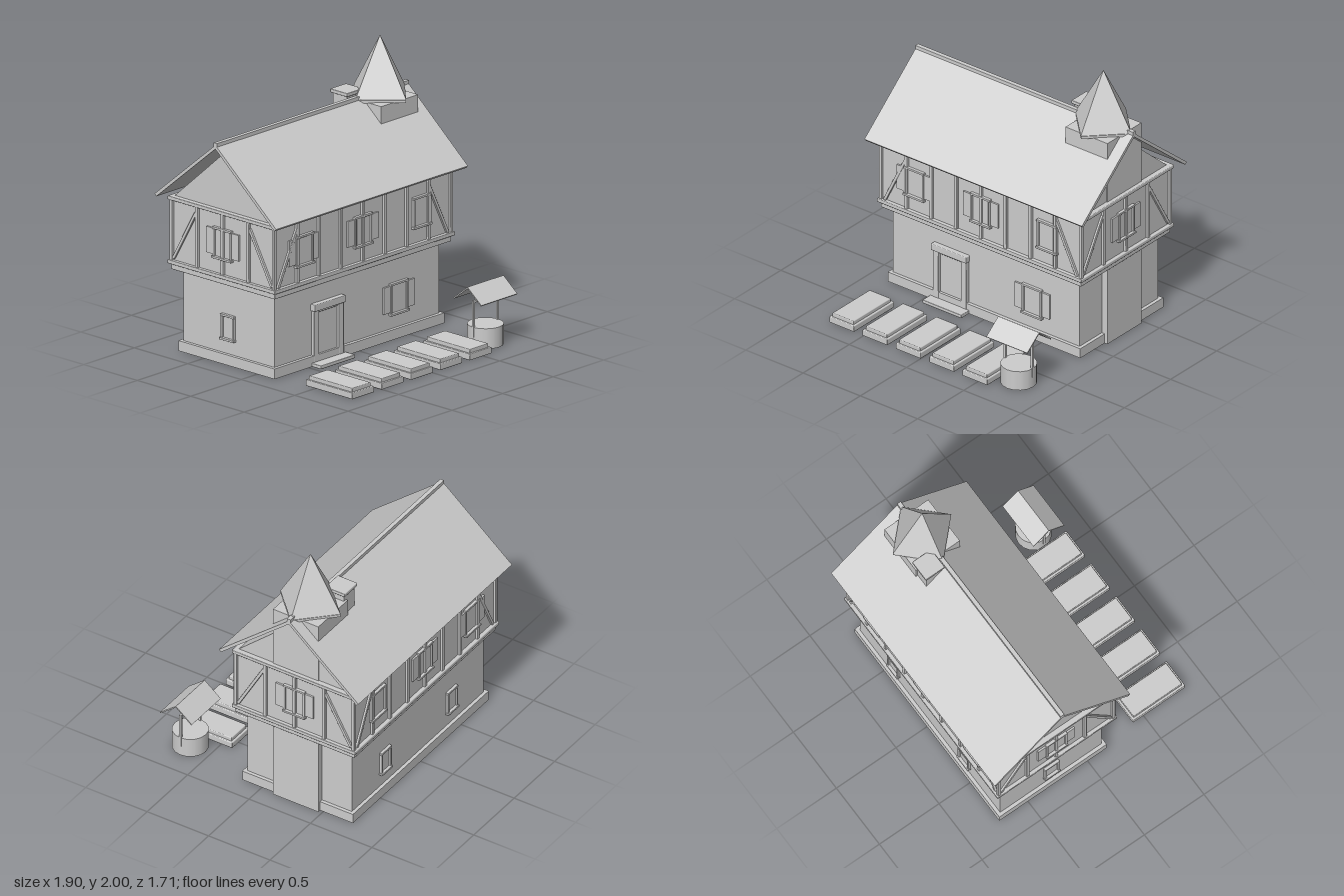
import * as THREE from 'three';
import { RoundedBoxGeometry } from 'three/addons/geometries/RoundedBoxGeometry.js';

const HOUSE_Z = -0.29;

export function createModel() {
  const root = new THREE.Group();
  root.name = 'timberHouse';
  const grey = new THREE.MeshStandardMaterial({ color: 0xcccccc });
  grey.name = 'plainGrey';

  const group = (parent, name, x = 0, y = 0, z = 0, ry = 0) => {
    const g = new THREE.Group();
    g.name = name;
    g.position.set(x, y, z);
    g.rotation.y = ry;
    parent.add(g);
    return g;
  };
  const add = (parent, name, geometry, x = 0, y = 0, z = 0) => {
    const m = new THREE.Mesh(geometry, grey);
    m.name = name;
    m.position.set(x, y, z);
    parent.add(m);
    return m;
  };
  // Boxes are given by their ranges on each axis
  const box = (parent, name, [x0, x1], [y0, y1], [z0, z1]) =>
    add(parent, name, new THREE.BoxGeometry(x1 - x0, y1 - y0, z1 - z0),
      (x0 + x1) / 2, (y0 + y1) / 2, (z0 + z1) / 2);
  // Trim with slightly softened edges
  const trim = (parent, name, [x0, x1], [y0, y1], [z0, z1]) => {
    const s = [x1 - x0, y1 - y0, z1 - z0];
    const r = Math.min(0.006, Math.min(...s) * 0.2);
    return add(parent, name, new RoundedBoxGeometry(...s, 1, r),
      (x0 + x1) / 2, (y0 + y1) / 2, (z0 + z1) / 2);
  };
  // Symmetric (z, y) profile extruded along x
  const prism = (parent, name, points, length, x, z) => {
    const shape = new THREE.Shape(points.map(p => new THREE.Vector2(...p)));
    const g = new THREE.ExtrudeGeometry(shape, { depth: length, bevelEnabled: false });
    g.translate(0, 0, -length / 2).rotateY(Math.PI / 2);
    return add(parent, name, g, x, 0, z);
  };

  // Window on a wall group whose outside faces local +z
  const windowUnit = (wall, u, y0, w, h, shutter = 0) => {
    const g = group(wall, 'window', u, y0, 0);
    const a = w / 2, t = 0.016;
    box(g, 'windowPane', [-a + t, a - t], [t, h - t], [-0.01, 0.006]);
    for (const s of [-1, 1]) {
      const c = s * (a - t / 2);
      trim(g, 'windowJamb', [c - t / 2, c + t / 2], [t, h - t], [-0.01, 0.02]);
      if (shutter) {
        const d = s * (a + shutter / 2);
        box(g, 'shutter', [d - shutter / 2, d + shutter / 2], [0.025, h - 0.015], [-0.005, 0.013]);
      }
    }
    trim(g, 'windowHead', [-a, a], [h - t, h], [-0.01, 0.022]);
    trim(g, 'windowSill', [-a - 0.004, a + 0.004], [0, t], [-0.01, 0.028]);
  };

  // Ground floor
  const house = group(root, 'house', 0, 0, HOUSE_Z);
  box(house, 'plinth', [-0.84, 0.84], [0, 0.073], [-0.45, 0.45]);
  box(house, 'groundFloor', [-0.815, 0.815], [0.073, 0.585], [-0.425, 0.425]);

  const groundFront = group(house, 'groundFrontWall', 0, 0, 0.425);
  windowUnit(groundFront, 0.408, 0.17, 0.175, 0.23, 0.065);
  const groundBack = group(house, 'groundBackWall', 0, 0, -0.425, Math.PI);
  for (const u of [-0.41, 0.41]) windowUnit(groundBack, u, 0.17, 0.125, 0.185);
  const groundLeft = group(house, 'groundSideWall', -0.815, 0, 0, -Math.PI / 2);
  windowUnit(groundLeft, 0, 0.17, 0.125, 0.185);

  // Door
  const door = group(groundFront, 'door', -0.3, 0, 0);
  box(door, 'doorPanel', [-0.1, 0.1], [0.02, 0.39], [-0.01, 0.006]);
  for (const s of [-1, 1])
    trim(door, 'doorJamb', [s * 0.122 - 0.025, s * 0.122 + 0.025], [0.02, 0.39], [-0.01, 0.027]);
  trim(door, 'doorTransom', [-0.1, 0.1], [0.37, 0.39], [-0.01, 0.015]);
  trim(door, 'doorLintel', [-0.155, 0.155], [0.39, 0.44], [-0.01, 0.04]);
  trim(door, 'doorStep', [-0.17, 0.17], [0, 0.026], [-0.01, 0.11]);

  // Overhanging upper floor
  trim(house, 'jettyBeam', [-0.875, 0.875], [0.585, 0.627], [-0.485, 0.485]);
  box(house, 'upperFloor', [-0.868, 0.868], [0.62, 1.1], [-0.475, 0.475]);
  trim(house, 'lowerRail', [-0.893, 0.893], [0.627, 0.655], [-0.503, 0.503]);
  trim(house, 'upperRail', [-0.893, 0.893], [1.085, 1.112], [-0.503, 0.503]);
  for (const sx of [-1, 1]) for (const sz of [-1, 1])
    trim(house, 'cornerPost', [sx * 0.873 - 0.013, sx * 0.873 + 0.013], [0.65, 1.09],
      [sz * 0.479 - 0.013, sz * 0.479 + 0.013]);

  // Timber frame of one upper wall: posts, corner braces and windows
  const timberWall = (wall, posts, brace, windows) => {
    for (const u of posts)
      trim(wall, 'post', [u - 0.013, u + 0.013], [0.65, 1.09], [-0.01, 0.018]);
    const [u0, v0, u1, v1] = brace;
    for (const s of [-1, 1]) {
      const len = Math.hypot(u1 - u0, v1 - v0);
      const m = add(wall, 'brace', new RoundedBoxGeometry(0.022, len, 0.024, 1, 0.003),
        s * (u0 + u1) / 2, (v0 + v1) / 2, 0.003);
      m.rotation.z = s * Math.atan2(u0 - u1, v1 - v0);
    }
    for (const [u, shutter] of windows) windowUnit(wall, u, 0.76, 0.175, 0.225, shutter);
  };
  const longPosts = [-3, -2, -1, 0, 1, 2, 3].map(i => i * 0.2165);
  const longBrace = [0.84, 0.655, 0.65, 1.045];
  const sideBrace = [0.46, 0.67, 0.25, 1.04];
  timberWall(group(house, 'upperFrontWall', 0, 0, 0.475), longPosts, longBrace,
    [[-0.58, 0.065], [0, 0.065], [0.58, 0]]);
  timberWall(group(house, 'upperBackWall', 0, 0, -0.475, Math.PI), longPosts, longBrace,
    [[-0.58, 0], [0, 0.065], [0.58, 0.065]]);
  for (const s of [-1, 1])
    timberWall(group(house, 'upperSideWall', s * 0.868, 0, 0, s * Math.PI / 2),
      [-0.24, 0, 0.24], sideBrace, [[0, 0.065]]);

  // Attic and roof
  prism(house, 'attic', [[-0.475, 1.105], [0.475, 1.105], [0, 1.525]], 1.71, 0, 0);
  prism(house, 'roof', [[-0.568, 1.125], [-0.553, 1.108], [0, 1.572], [0.553, 1.108],
    [0.568, 1.125], [0, 1.6]], 1.9, 0, 0);
  box(house, 'ridgeCap', [-0.95, 0.95], [1.588, 1.614], [-0.015, 0.015]);

  // Tower with a four-sided spire
  const tower = group(house, 'tower', 0.68, 0, 0);
  box(tower, 'towerShaft', [-0.183, 0.183], [0, 1.57], [-0.184, 0.184]);
  add(tower, 'towerEave', new THREE.CylinderGeometry(0.243, 0.243, 0.02, 4).toNonIndexed(), 0, 1.576, 0)
    .geometry.computeVertexNormals();
  add(tower, 'towerSpire', new THREE.ConeGeometry(0.245, 0.41, 4).toNonIndexed(), 0, 1.795, 0)
    .geometry.computeVertexNormals();

  // Chimney
  box(house, 'chimney', [0.395, 0.525], [1.25, 1.62], [-0.17, -0.04]);
  trim(house, 'chimneyCap', [0.38, 0.54], [1.618, 1.645], [-0.185, -0.025]);

  // Row of raised garden beds
  for (let i = 0; i < 5; i++) {
    const bed = group(root, 'gardenBed', -0.69 + i * 0.291, 0, 0.63);
    trim(bed, 'bedBase', [-0.109, 0.109], [0, 0.046], [-0.219, 0.219]);
    trim(bed, 'bedTop', [-0.093, 0.093], [0.04, 0.073], [-0.203, 0.203]);
  }

  // Well
  const well = group(root, 'well', 0.712, 0, 0.667);
  add(well, 'wellWall', new THREE.CylinderGeometry(0.126, 0.126, 0.145, 16), 0, 0.0725, 0);
  for (const s of [-1, 1])
    box(well, 'wellPost', [s * 0.119 - 0.008, s * 0.119 + 0.008], [0.075, 0.335], [-0.008, 0.008]);
  box(well, 'wellCrossbeam', [-0.119, 0.119], [0.32, 0.335], [-0.008, 0.008]);
  prism(well, 'wellRoof', [[-0.13, 0.342], [-0.125, 0.335], [0, 0.434], [0.125, 0.335],
    [0.13, 0.342], [0, 0.445]], 0.357, 0, 0);

  return root;
}
